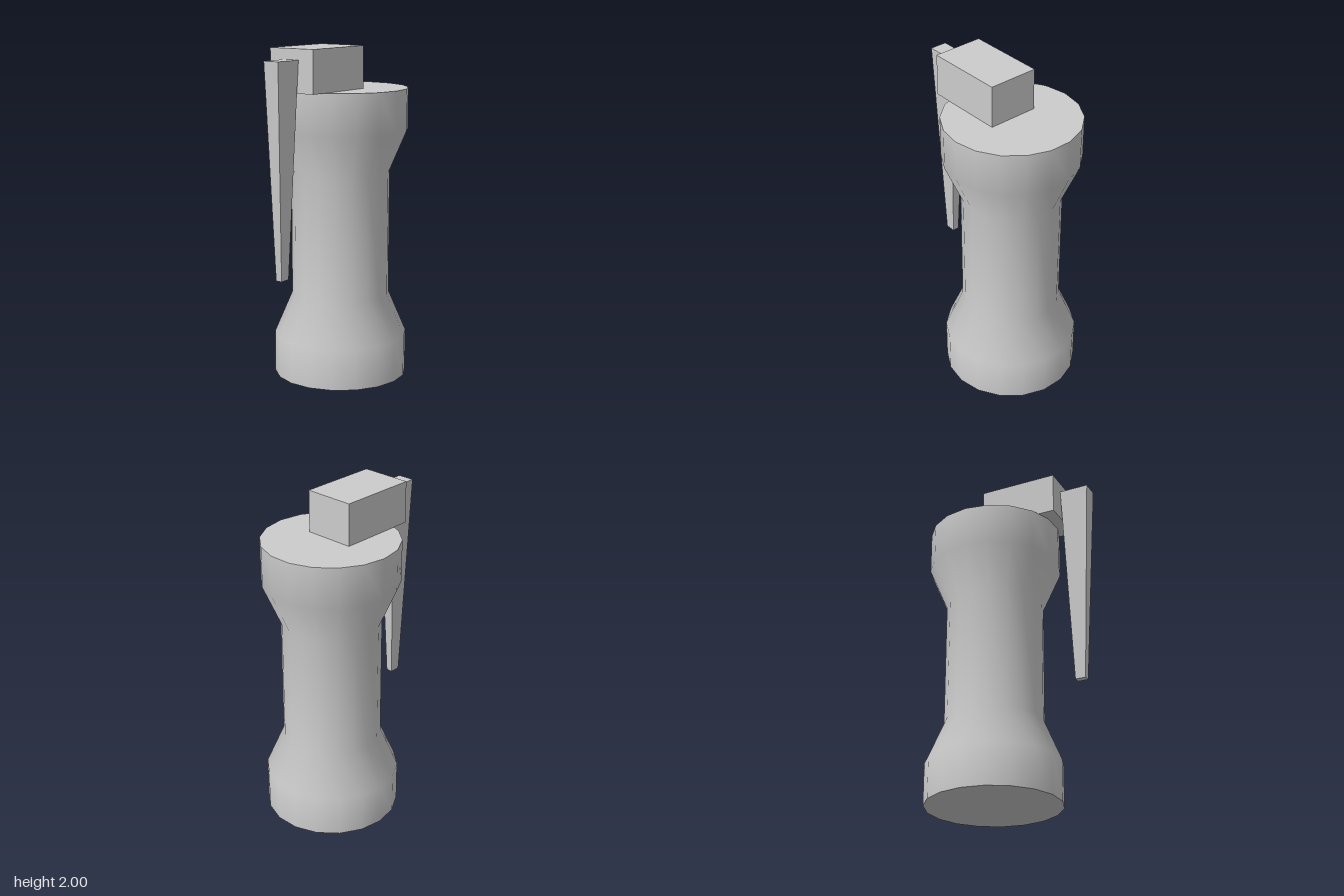
import * as THREE from 'three';

const material = new THREE.MeshStandardMaterial({ color: 0xcccccc });

function addMesh(parent, name, geometry, x, y, z) {
  const mesh = new THREE.Mesh(geometry, material);
  mesh.name = name;
  mesh.position.set(x, y, z);
  parent.add(mesh);
  return mesh;
}

// Box whose horizontal section shrinks linearly to the given size at the bottom
function taperedBox(width, height, depth, bottomWidth, bottomDepth, shiftX, shiftZ) {
  const geometry = new THREE.BoxGeometry(width, height, depth);
  const p = geometry.attributes.position;
  for (let i = 0; i < p.count; i++) {
    if (p.getY(i) < 0) {
      p.setX(i, p.getX(i) * bottomWidth / width + shiftX);
      p.setZ(i, p.getZ(i) * bottomDepth / depth + shiftZ);
    }
  }
  const flat = geometry.toNonIndexed();
  flat.computeVertexNormals();
  return flat;
}

export function createModel() {
  const model = new THREE.Group();
  const sides = 18, radius = 0.402, waist = 0.295, height = 1.75, bodyZ = -0.125;

  // Waisted body with flat end caps
  const body = new THREE.Group();
  body.name = 'body';
  body.position.z = bodyZ;
  model.add(body);
  const profile = [
    [radius, 0], [radius, 0.25], [waist, 0.5],
    [waist, 1.25], [radius, 1.5], [radius, height],
  ].map(([r, y]) => new THREE.Vector2(r, y));
  addMesh(body, 'bodyWall', new THREE.LatheGeometry(profile, sides, Math.PI / 2), 0, 0, 0);
  const cap = new THREE.CircleGeometry(radius, sides);
  addMesh(body, 'topCap', cap, 0, height, 0).rotation.x = -Math.PI / 2;
  addMesh(body, 'bottomCap', cap, 0, 0, 0).rotation.x = Math.PI / 2;

  // Block on the top, overhanging the front
  addMesh(model, 'topBlock', new THREE.BoxGeometry(0.307, 0.25, 0.478), 0.003, 1.875, 0.102);

  // Tapered lever hanging from the block
  addMesh(model, 'lever', taperedBox(0.102, 1.255, 0.178, 0.04, 0.063, -0.002, 0.002),
    0.004, 1.31, 0.431);

  return model;
}
